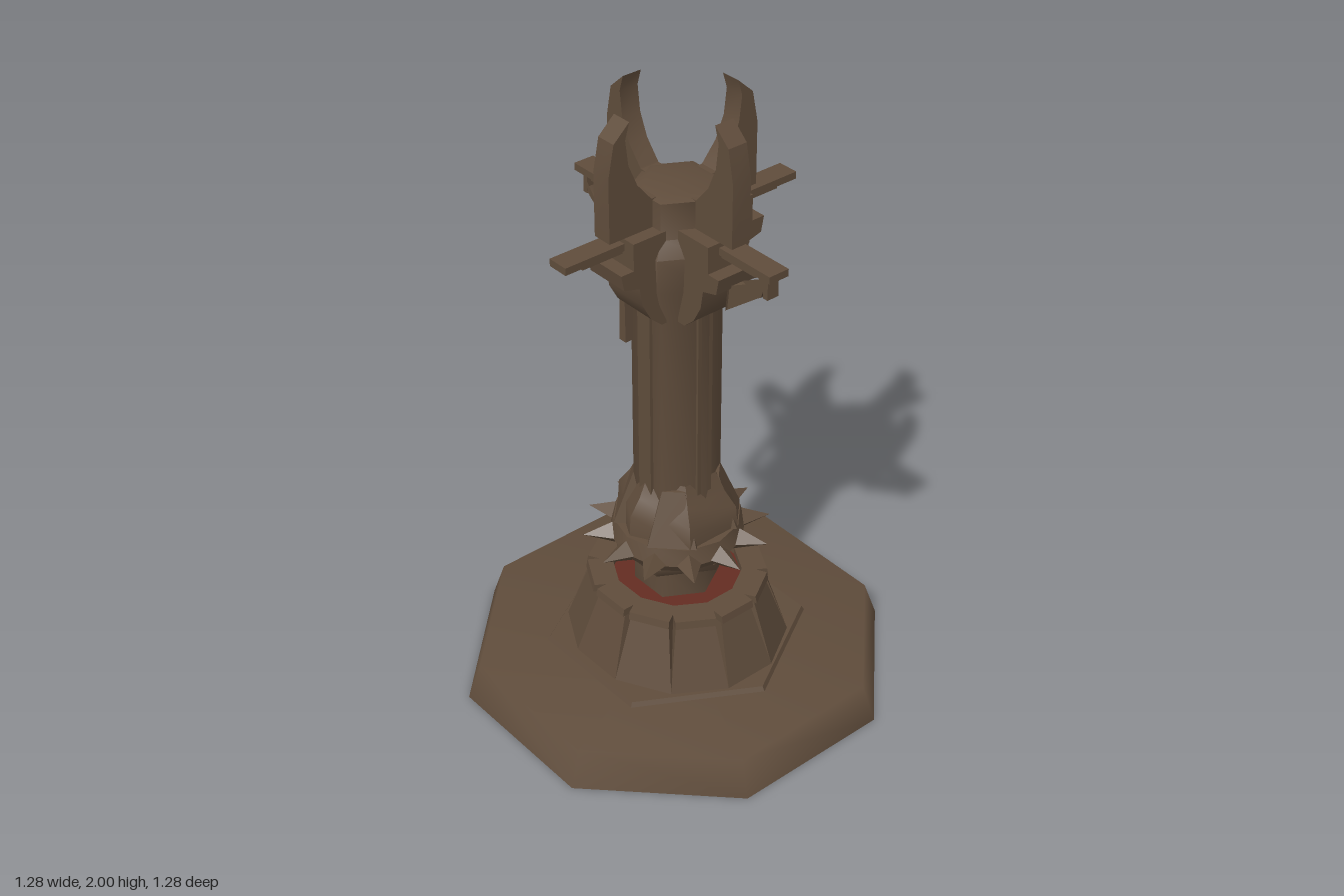
import * as THREE from 'three';
import { toCreasedNormals } from 'three/addons/utils/BufferGeometryUtils.js';

export function createModel() {
  const model = new THREE.Group();
  const brown = new THREE.MeshStandardMaterial({ color: 0x5f4c3b, side: THREE.DoubleSide });
  brown.name = 'darkBrown';
  const red = new THREE.MeshStandardMaterial({ color: 0x642c22 });
  red.name = 'emberRed';

  const add = (name, geo, mat = brown, crease = 0.7, parent = model) => {
    const mesh = new THREE.Mesh(crease ? toCreasedNormals(geo, crease) : geo, mat);
    mesh.name = name;
    parent.add(mesh);
    return mesh;
  };
  // Faceted turned part from [radius, y] pairs
  const lathe = (points, sides, start = 0) =>
    new THREE.LatheGeometry(points.map(p => new THREE.Vector2(...p)), sides, start);
  // Flat profile of [radius, y] pairs with a centred thickness
  const plate = (points, thick) => {
    const shape = new THREE.Shape(points.map(p => new THREE.Vector2(...p)));
    return new THREE.ExtrudeGeometry(shape, { depth: thick, bevelEnabled: false }).translate(0, 0, -thick / 2);
  };
  // Block facing +z whose width and inner/outer radius differ at bottom and top
  const wedge = (bottom, top, y0, y1) => {
    const geo = new THREE.BoxGeometry(1, 1, 1);
    const p = geo.attributes.position;
    for (let i = 0; i < p.count; i++) {
      const up = p.getY(i) > 0;
      const [width, inner, outer] = up ? top : bottom;
      p.setXYZ(i, p.getX(i) * width, up ? y1 : y0, p.getZ(i) > 0 ? outer : inner);
    }
    return geo;
  };

  // Hollow octagonal base and hexagonal plinth
  add('base', lathe([[0.693, 0], [0.65, 0.12], [0, 0.125]], 8, Math.PI / 8), brown, 0);
  add('plinth', lathe([[0.42, 0.12], [0.41, 0.137], [0, 0.14]], 6));
  add('redCore', lathe([[0, 0.1], [0.25, 0.1], [0.23, 0.34], [0, 0.34]], 6), red);

  // Ring of tapered foot blocks
  const feet = new THREE.Group();
  feet.name = 'footBlocks';
  feet.scale.set(0.96, 1, 1.02);
  model.add(feet);
  for (let i = 0; i < 12; i++) {
    const geo = wedge([0.185, 0.22, 0.345], [0.125, 0.21, 0.275], 0.14, 0.345);
    add('footBlock', geo, brown, 0.7, feet).rotation.y = i * Math.PI / 6;
    const lip = wedge([0.13, 0.2, 0.285], [0.13, 0.2, 0.28], 0.345, 0.37);
    add('footLip', lip, brown, 0.7, feet).rotation.y = i * Math.PI / 6;
  }

  // Neck, flange and spiked collar
  add('neck', lathe([[0.135, 0.3], [0.135, 0.44], [0.185, 0.46], [0.195, 0.49], [0, 0.49]], 6), brown, 1.1);
  add('collar', lathe([[0, 0.49], [0.19, 0.49], [0.215, 0.525], [0.2, 0.58], [0, 0.585]], 12));
  for (let i = 0; i < 12; i++) {
    const geo = new THREE.ConeGeometry(0.05, 0.12, 4);
    geo.rotateX(Math.PI / 2).translate(0, 0.528, 0.235);
    add('collarSpike', geo).rotation.y = i * Math.PI / 6;
  }

  // Boot, shaft and head
  const boot = add('boot', lathe([[0.19, 0.58], [0.185, 0.65], [0.15, 0.7], [0.12, 0.765]], 6, Math.PI / 2));
  boot.scale.z = 1.06;
  add('shaft', lathe([[0.135, 0.58], [0.135, 1.36], [0.16, 1.46], [0.165, 1.57], [0.135, 1.62], [0.135, 1.735], [0.1, 1.745], [0, 1.745]], 6), brown, 1.1);

  const flare = [[0.05, 1.35], [0.12, 1.35], [0.16, 1.385], [0.19, 1.44], [0.2, 1.5], [0.255, 1.515],
    [0.265, 1.565], [0.22, 1.565], [0.22, 1.65], [0.05, 1.65]];
  const claw = [[0.05, 1.65], [0.27, 1.65], [0.27, 1.85], [0.25, 1.95], [0.195, 2], [0.21, 1.95],
    [0.2, 1.87], [0.17, 1.8], [0.12, 1.74], [0.05, 1.74]];
  for (let i = 0; i < 4; i++) {
    const side = new THREE.Group();
    side.name = 'headSide';
    side.rotation.y = i * Math.PI / 2;
    model.add(side);
    add('flareBracket', plate(flare, 0.15), brown, 0.6, side);
    add('claw', plate(claw, 0.065), brown, 0.6, side);
    add('crossArm', new THREE.BoxGeometry(0.38, 0.023, 0.07).translate(0.236, 1.624, 0), brown, 0.7, side);
    add('armBrace', new THREE.BoxGeometry(0.3, 0.015, 0.05).translate(0.21, 1.607, 0), brown, 0.7, side);
    add('shaftRib', new THREE.BoxGeometry(0.03, 0.8, 0.055).translate(0.112, 0.97, 0), brown, 0.7, side);
    // Rounded boot lobes on the diagonals
    const lobe = add('bootLobe', wedge([0.15, 0.05, 0.19], [0.07, 0.05, 0.13], 0.58, 0.75), brown, 0.7, side);
    lobe.rotation.y = Math.PI / 4;
  }

  // Hanging straps under the front and back arms
  const ribbon = (name, points, width) => {
    const upper = points.map(([z, y]) => [z, y]);
    const lower = points.map(([z, y]) => [z - 0.008, y - 0.008]).reverse();
    return plate([...lower, ...upper], width).rotateY(-Math.PI / 2);
  };
  const frontStrap = [[0.405, 1.605], [0.385, 1.55], [0.32, 1.51], [0.25, 1.525], [0.24, 1.44]];
  const backStrap = [[0.405, 1.605], [0.385, 1.55], [0.32, 1.5], [0.23, 1.52]];
  add('frontStrap', ribbon('front', frontStrap, 0.04));
  add('backStrap', ribbon('back', backStrap, 0.04)).rotation.y = Math.PI;
  add('longStrap', wedge([0.035, 0.22, 0.25], [0.03, 0.228, 0.24], 1.1, 1.52)).rotation.y = Math.PI;
  for (const s of [1, -1])
    add('strapKnot', new THREE.BoxGeometry(0.04, 0.06, 0.018).translate(0, 1.575, s * 0.395));

  return model;
}
